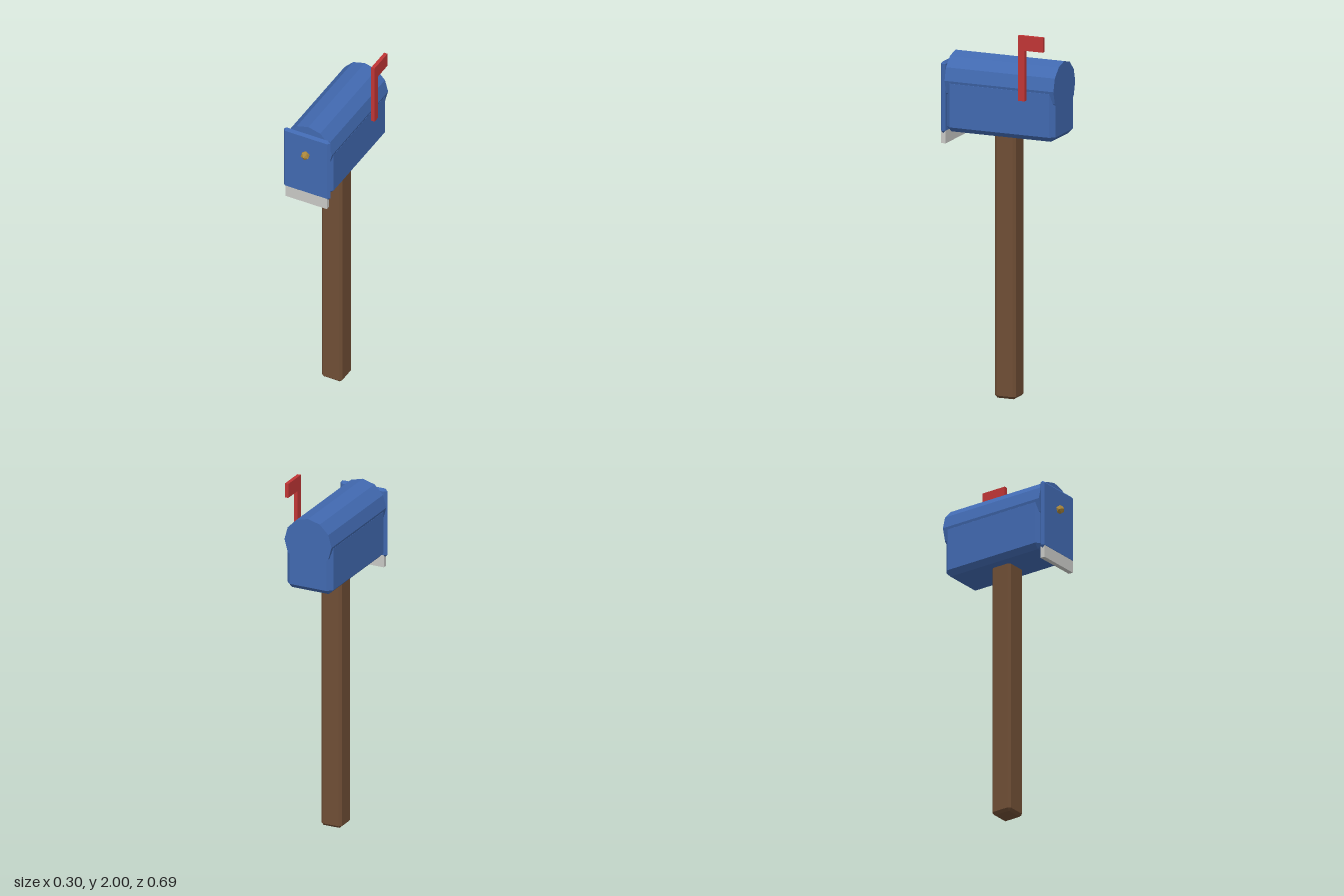
import * as THREE from 'three';
import { ConvexGeometry } from 'three/addons/geometries/ConvexGeometry.js';

const material = (name, color) => {
  const m = new THREE.MeshStandardMaterial({ color, flatShading: true });
  m.name = name;
  return m;
};

// Box with every edge chamfered by b
function chamferBox(w, h, d, b) {
  const points = [];
  for (const sx of [-1, 1]) for (const sy of [-1, 1]) for (const sz of [-1, 1]) {
    for (let axis = 0; axis < 3; axis++) {
      const inset = [b, b, b];
      inset[axis] = 0;
      points.push(new THREE.Vector3(
        sx * (w / 2 - inset[0]), sy * (h / 2 - inset[1]), sz * (d / 2 - inset[2])));
    }
  }
  return new ConvexGeometry(points);
}

export function createModel() {
  const group = new THREE.Group();
  group.name = 'mailbox';
  const blue = material('blue paint', 0x4169b0);
  const brown = material('brown wood', 0x6f4e35);
  const red = material('red paint', 0xc03535);
  const white = material('pale grey', 0xc8c8c5);
  const gold = material('brass', 0xac883c);
  const cx = -0.0125;

  const add = (name, geometry, mat, x, y, z) => {
    const mesh = new THREE.Mesh(geometry, mat);
    mesh.name = name;
    mesh.position.set(x, y, z);
    group.add(mesh);
    return mesh;
  };

  // Wooden post
  add('post', chamferBox(0.122, 1.45, 0.122, 0.014), brown, cx, 0.725, -0.029);

  // Chamfered lower body with a twelve-sided barrel as the roof
  add('body', chamferBox(0.272, 0.29, 0.629, 0.027), blue, cx, 1.575, -0.0325);
  const barrel = new THREE.CylinderGeometry(0.139, 0.139, 0.629, 12);
  barrel.rotateX(Math.PI / 2);
  add('roof', barrel, blue, cx, 1.707, -0.0325);

  // Front door, the strip below it and the knob
  add('door', chamferBox(0.278, 0.388, 0.028, 0.0135), blue, cx, 1.615, 0.296);
  add('doorStrip', new THREE.BoxGeometry(0.248, 0.072, 0.026), white, cx, 1.401, 0.296);
  const knob = new THREE.IcosahedronGeometry(0.026, 0);
  knob.rotateX(Math.atan(2 / (1 + Math.sqrt(5))));
  add('knob', knob, gold, cx, 1.682, 0.317);

  // Signal flag: an L-shaped plate, drawn in (-z, y) and turned to face sideways
  const outline = [[0.152, 1.647], [0.192, 1.647], [0.192, 1.921], [0.297, 1.921], [0.297, 2], [0.152, 2]];
  const flag = new THREE.ExtrudeGeometry(
    new THREE.Shape(outline.map(([u, v]) => new THREE.Vector2(u, v))),
    { depth: 0.02, bevelEnabled: false });
  flag.rotateY(Math.PI / 2);
  add('flag', flag, red, 0.13, 0, 0);

  return group;
}
